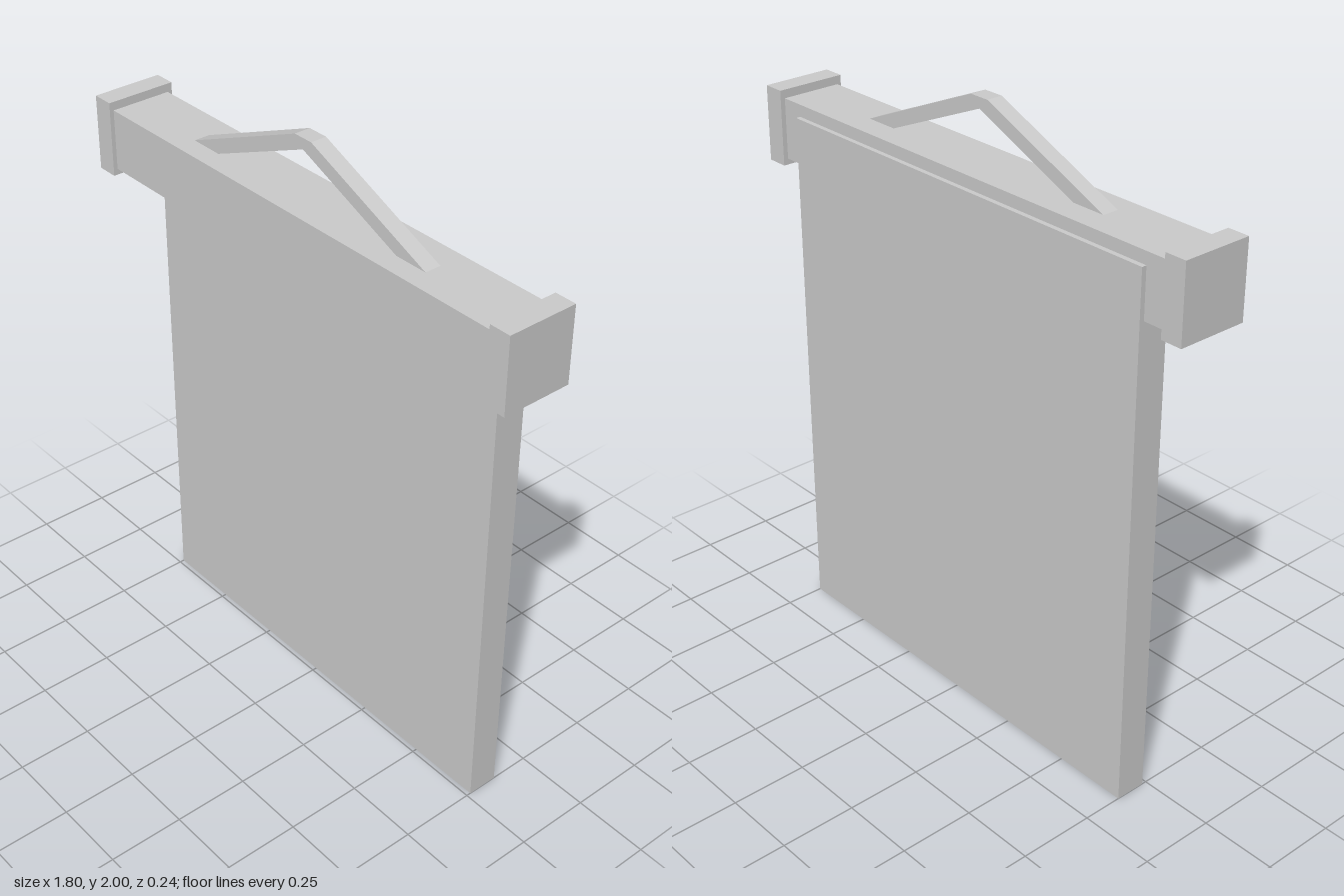
import * as THREE from 'three';

const material = new THREE.MeshStandardMaterial({ color: 0xcccccc, flatShading: true });
const thin = new THREE.MeshStandardMaterial({ color: 0xcccccc, flatShading: true, side: THREE.DoubleSide });

// Box given by its minimum and maximum corners
function box(name, min, max, mat = material) {
  const size = max.map((v, i) => v - min[i]);
  const mesh = new THREE.Mesh(new THREE.BoxGeometry(...size), mat);
  mesh.position.set(...max.map((v, i) => (v + min[i]) / 2));
  mesh.name = name;
  return mesh;
}

export function createModel() {
  const group = new THREE.Group();
  group.name = 'hangingBanner';

  // Horizontal rail with a square cap on each end
  group.add(box('rail', [-0.83, 1.6, -0.102], [0.83, 1.8, 0.104]));
  group.add(box('leftCap', [0.828, 1.58, -0.118], [0.9, 1.828, 0.118]));
  group.add(box('rightCap', [-0.9, 1.58, -0.118], [-0.828, 1.828, 0.118]));

  // Hollow cloth panel, open at the bottom (box faces: +x, -x, +y, -y, +z, -z)
  const cloth = box('cloth', [-0.75, 0, -0.118], [0.75, 1.76, -0.015], thin);
  const index = Array.from(cloth.geometry.index.array);
  index.splice(18, 6);
  cloth.geometry.setIndex(index);
  cloth.geometry.clearGroups();
  group.add(cloth);

  // Bent hanger strap rising to a flat peak
  const outline = [
    [-0.505, 1.8], [-0.39, 1.8], [0, 1.965], [0.39, 1.8],
    [0.505, 1.8], [0.035, 2], [-0.035, 2],
  ].map(([x, y]) => new THREE.Vector2(x, y));
  const hanger = new THREE.Mesh(
    new THREE.ExtrudeGeometry(new THREE.Shape(outline), { depth: 0.054, bevelEnabled: false }),
    material,
  );
  hanger.position.z = -0.018;
  hanger.name = 'hanger';
  group.add(hanger);

  return group;
}
